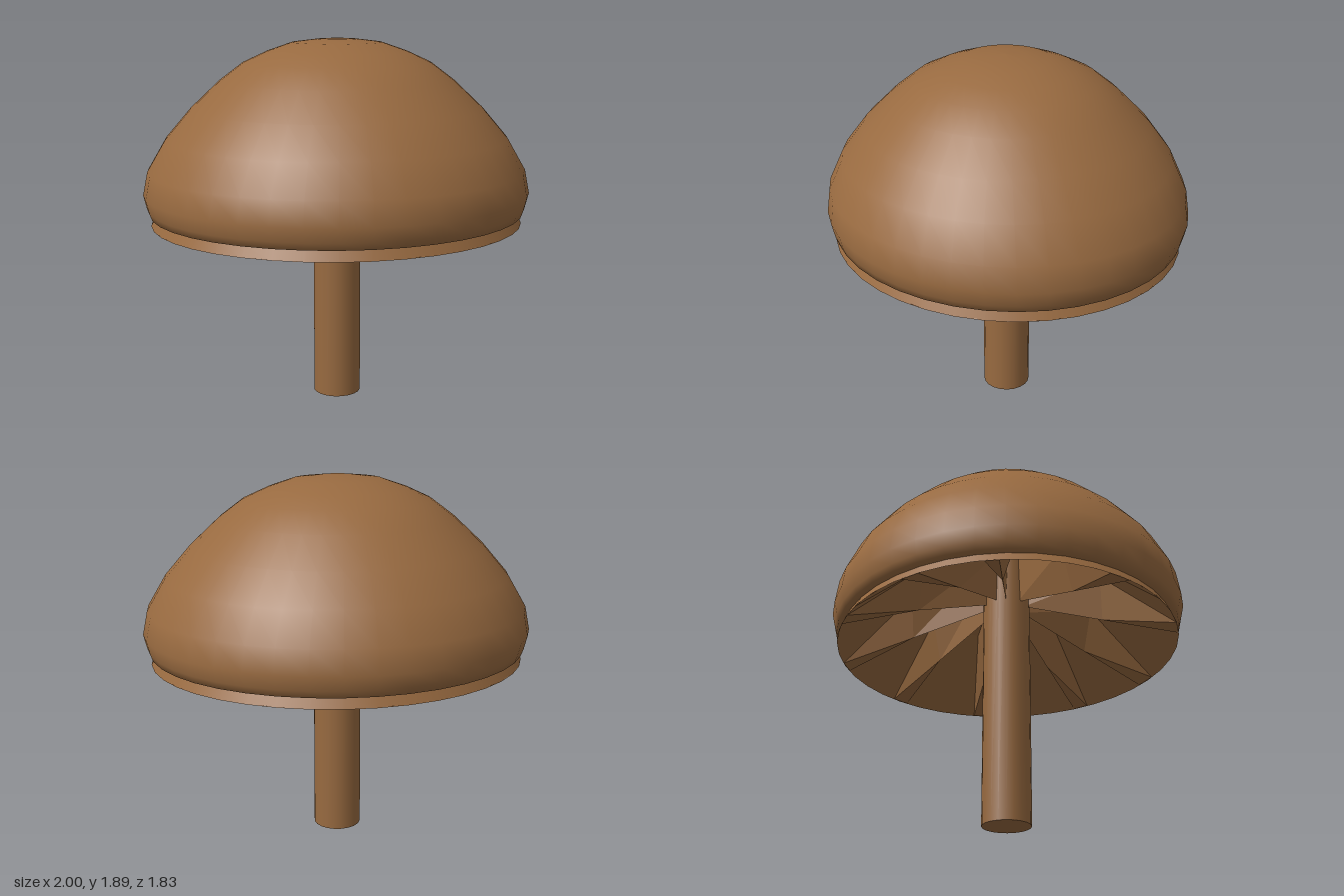
import * as THREE from 'three';

const brown = new THREE.MeshStandardMaterial({ color: 0x986a40, side: THREE.DoubleSide });
brown.name = 'mushroom brown';

// The cap is slightly narrower front to back, most of all near the rim.
const depthAt = (y) => THREE.MathUtils.lerp(0.917, 0.955, THREE.MathUtils.smoothstep(y, 1.1, 1.6));

function ovalLathe(points, segments) {
  const geometry = new THREE.LatheGeometry(points.map(([r, y]) => new THREE.Vector2(r, y)), segments);
  const pos = geometry.attributes.position;
  for (let i = 0; i < pos.count; i++) pos.setZ(i, pos.getZ(i) * depthAt(pos.getY(i)));
  return geometry;
}

// Hollow underside: a broad ceiling broken by narrow gill ridges from the stem to the rim
function gillGeometry() {
  const ridges = [-275, -240, -205, -170, -135, -110, -68, -28, 14, 45];
  const ridgeProfile = [[0.1, 1.2], [0.55, 1.07], [0.963, 0.952]];
  const ceilingProfile = [[0.1, 1.5], [0.55, 1.29], [0.963, 0.952]];
  const verts = [];
  const index = [];
  ridges.forEach((start, i) => {
    const end = i + 1 < ridges.length ? ridges[i + 1] : ridges[0] + 360;
    [0, 0.18, 0.39, 0.61, 0.82].forEach((t) => {
      const a = THREE.MathUtils.degToRad(THREE.MathUtils.lerp(start, end, t));
      for (const [r, y] of t === 0 ? ridgeProfile : ceilingProfile) {
        verts.push(Math.sin(a) * r, y, Math.cos(a) * r * depthAt(y));
      }
    });
  });
  const total = verts.length / 3;
  for (let s = 0; s < total; s += 3) {
    for (let k = s; k < s + 2; k++) {
      const n = (k + 3) % total;
      index.push(k, n, k + 1, n, n + 1, k + 1);
    }
  }
  const indexed = new THREE.BufferGeometry();
  indexed.setAttribute('position', new THREE.Float32BufferAttribute(verts, 3));
  indexed.setIndex(index);
  const geometry = indexed.toNonIndexed();
  geometry.computeVertexNormals();
  return geometry;
}

export function createModel() {
  const group = new THREE.Group();
  group.name = 'mushroom';
  const add = (name, geometry) => {
    const mesh = new THREE.Mesh(geometry, brown);
    mesh.name = name;
    group.add(mesh);
    return mesh;
  };

  // Domed cap, turning under at the bottom
  add('cap', ovalLathe([
    [0.94, 0.998], [0.97, 1.005], [0.983, 1.04], [1.0, 1.11], [0.975, 1.23], [0.88, 1.39],
    [0.75, 1.54], [0.6, 1.68], [0.48, 1.77], [0.36, 1.825], [0.23, 1.87], [0.1, 1.886], [0, 1.89],
  ], 40));

  // Thin lip below the cap, flaring outwards to the rim
  add('lip', ovalLathe([[0.965, 0.95], [0.94, 1.0]], 40));

  add('gills', gillGeometry());

  // Plain round stem reaching up into the cap
  add('stem', new THREE.CylinderGeometry(0.123, 0.125, 1.55, 20)).position.y = 0.775;

  return group;
}
